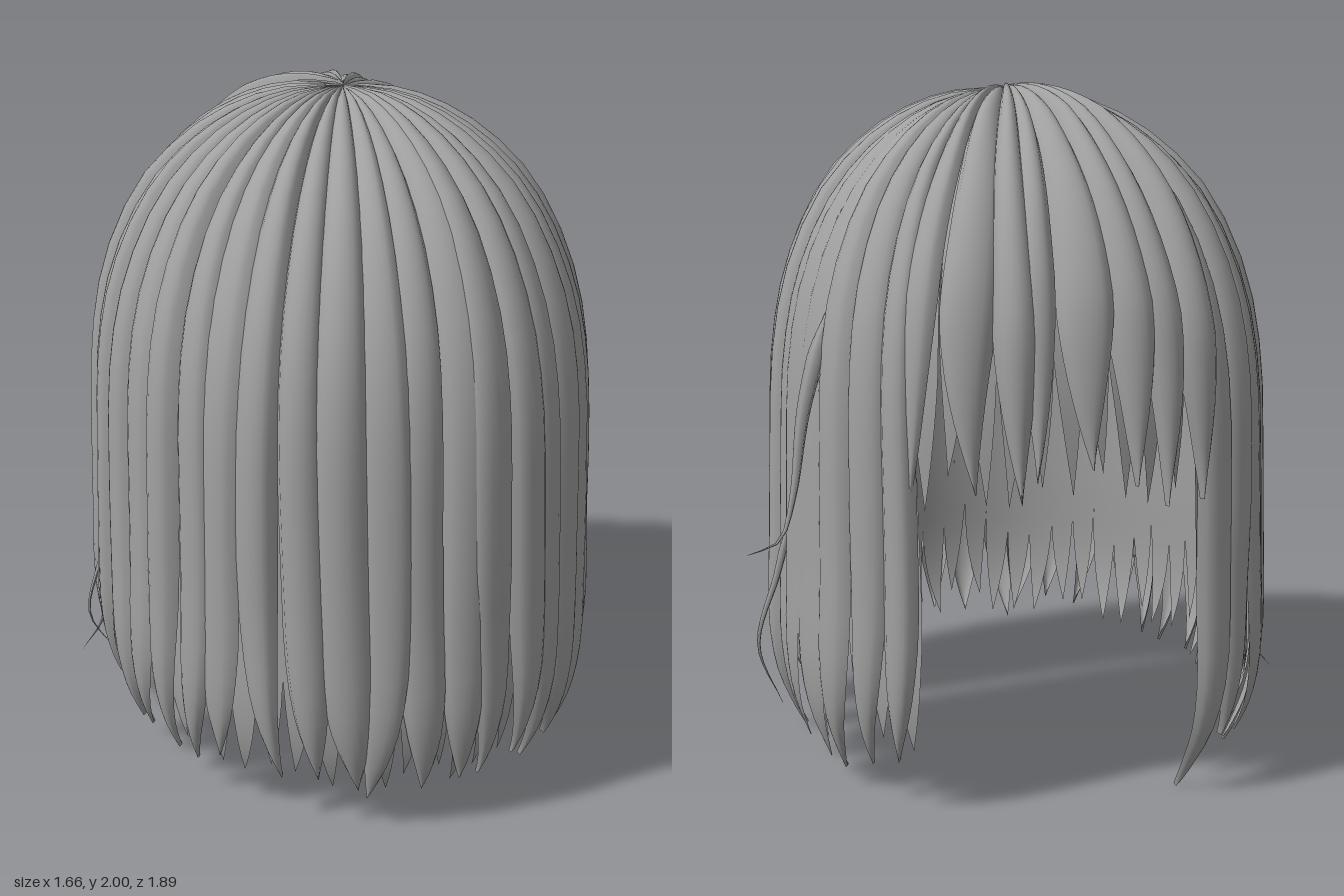
import * as THREE from 'three';
import { mergeGeometries } from 'three/addons/utils/BufferGeometryUtils.js';

const RAD = Math.PI / 180;

// Half profile of the hair from crown to tips: x = share of the head radius, y = height
const profile = new THREE.SplineCurve([
  [0.01, 1.968], [0.2, 1.955], [0.4, 1.9], [0.6, 1.795], [0.78, 1.635], [0.91, 1.42],
  [0.972, 1.18], [0.99, 0.9], [1.0, 0.6], [1.015, 0.36], [0.995, 0.2], [0.94, 0.08], [0.89, 0]
].map(([x, y]) => new THREE.Vector2(x, y)));

// Small seeded random number source
function seeded(seed) {
  return () => {
    seed = (seed * 16807) % 2147483647;
    return seed / 2147483647;
  };
}

// Position along the profile at which the hair reaches a height
function profileAt(height) {
  let low = 0, high = 1;
  for (let i = 0; i < 24; i++) {
    const mid = (low + high) / 2;
    if (profile.getPoint(mid).y > height) low = mid; else high = mid;
  }
  return low;
}

// Point on the head shell: angle 0 faces +z, lift moves it outward
function shellPoint(angle, t, lift, scale) {
  const p = profile.getPoint(t), d = profile.getTangent(t);
  const c = Math.cos(angle), s = Math.sin(angle);
  const n = c < 0 ? 2.35 : 2;
  const k = Math.pow(Math.pow(Math.abs(c), n) + Math.pow(Math.abs(s), n), -1 / n);
  const out = p.x * scale * k;
  const side = -d.y * lift;
  return [
    s * (0.725 * out + side) - 0.015 * p.x,
    p.y - (1 - scale) * 0.5 + d.x * lift,
    c * ((c < 0 ? 0.925 : 0.91) * out + side)
  ];
}

// One arched lock that starts at the crown and narrows to a point
function lock({ angle, width, tip, bulge, tilt, sway, phase, scale, taper, gather }) {
  const rows = 26, cols = 8, end = profileAt(tip);
  const positions = [], index = [];
  for (let i = 0; i <= rows; i++) {
    const u = 1 - Math.pow(1 - i / rows, 1.25);
    const t = u * end;
    const late = Math.max(0, (u - taper) / (1 - taper));
    const w = width * Math.max(0.01, 1 - Math.pow(late, 1.5));
    const wave = 0.018 * Math.sin(u * 9 + phase) * u;
    const mid = angle * (1 - gather * u) + wave + sway * late * late;
    const fullness = Math.min(1, 0.15 + u * 2.6) * (1 - 0.75 * late);
    for (let j = 0; j <= cols; j++) {
      const v = j / cols * 2 - 1;
      const lift = fullness * (bulge * (Math.sqrt(1 - 0.96 * v * v) - 0.3) + tilt * v);
      positions.push(...shellPoint(mid + v * w / 2, t, lift, scale));
      if (i < rows && j < cols) {
        const a = i * (cols + 1) + j, b = a + cols + 1;
        index.push(a, b, b + 1, a, b + 1, a + 1);
      }
    }
  }
  const geometry = new THREE.BufferGeometry();
  geometry.setAttribute('position', new THREE.Float32BufferAttribute(positions, 3));
  geometry.setIndex(index);
  geometry.computeVertexNormals();
  return geometry;
}

// A row of locks spread between two angles in degrees; gather pulls the tips together
function lockRow({ from, to, count, low, high, seed, bulge = 0.054, overlap = 1.1, scale = 1, gather = 0, flat }) {
  const random = seeded(seed), step = (to - from) / count, locks = [];
  for (let i = 0; i < count; i++) {
    const angle = from + (i + 0.5) * step;
    const edge = i === 0 || i === count - 1;
    const smooth = flat && angle > flat[0] && angle < flat[1];
    locks.push(lock({
      angle: (angle + (edge ? 0 : (random() - 0.5) * step * 0.4)) * RAD,
      width: step * RAD * (edge ? 1.05 : overlap + random() * 0.35),
      tip: low + random() * (high - low),
      bulge: smooth ? 0.012 : bulge * (0.7 + random() * 0.6),
      tilt: (random() - 0.4) * 0.036,
      sway: (random() - 0.5) * 0.1,
      phase: random() * 6,
      scale: scale + (random() - 0.5) * 0.014,
      taper: 0.66 + random() * 0.12,
      gather
    }));
  }
  return mergeGeometries(locks);
}

// A smooth inner row: flat strips set edge to edge, with pointed ends
function liningRow({ from, to, count, low, high, seed, gather = 0 }) {
  const random = seeded(seed), step = (to - from) / count, strips = [];
  for (let i = 0; i < count; i++) {
    strips.push(lock({
      angle: (from + (i + 0.5) * step) * RAD, width: step * RAD, tip: low + random() * (high - low),
      bulge: 0, tilt: 0, sway: (random() - 0.5) * 0.06, phase: 0, scale: 0.975, taper: 0.8, gather
    }));
  }
  return mergeGeometries(strips);
}

export function createModel() {
  const model = new THREE.Group();
  model.name = 'bobHair';
  const hair = new THREE.MeshStandardMaterial({ color: 0xa0a0a0, side: THREE.DoubleSide });
  hair.name = 'hairGrey';

  function add(name, geometry) {
    const mesh = new THREE.Mesh(geometry, hair);
    mesh.name = name;
    model.add(mesh);
  }

  // Long panel, drawn in at the tips so that a slit opens on each side
  add('longPanel', lockRow({ from: -88, to: 88, count: 19, low: 0.07, high: 0.15, gather: 0.07, seed: 11 }));
  add('longPanelLining', liningRow({ from: -87, to: 87, count: 26, low: 0.1, high: 0.22, gather: 0.07, seed: 29 }));

  // Long side locks; the left side has a smooth flat section
  for (const side of [1, -1]) {
    const span = (a, b) => side > 0 ? { from: a, to: b } : { from: -b, to: -a };
    const name = side > 0 ? 'left' : 'right';
    add(name + 'SideLocks', lockRow({
      ...span(87, 146), count: 7, low: 0, high: 0.14, gather: -0.02, seed: 47 + side, flat: side > 0 ? [97, 118] : null
    }));
    add(name + 'SideLining', liningRow({ ...span(88, 146), count: 9, low: 0.1, high: 0.3, gather: -0.02, seed: 83 + side }));
  }

  // Short fringe over the face opening
  add('fringe', lockRow({ from: 144, to: 216, count: 8, low: 0.84, high: 0.98, bulge: 0.062, scale: 1.015, seed: 131 }));
  add('fringeLining', liningRow({ from: 145, to: 215, count: 11, low: 0.86, high: 1.0, seed: 173 }));

  // Loose wisps that stand away from the sides: radius, then path
  const wisps = [
    [0.035, [0.57, 1.4, -0.47], [0.66, 1.1, -0.55], [0.7, 0.85, -0.6], [0.74, 0.74, -0.63], [0.83, 0.71, -0.66]],
    [0.016, [0.68, 0.75, -0.25], [0.73, 0.55, -0.25], [0.79, 0.33, -0.25], [0.72, 0.14, -0.23]],
    [0.016, [-0.7, 0.8, -0.17], [-0.75, 0.5, -0.17], [-0.8, 0.28, -0.17], [-0.73, 0.16, -0.15]],
    [0.016, [-0.7, 0.6, -0.2], [-0.75, 0.4, -0.2], [-0.76, 0.25, -0.18], [-0.83, 0.16, -0.16]]
  ];
  wisps.forEach(([radius, ...points], i) => {
    const path = new THREE.CatmullRomCurve3(points.map(p => new THREE.Vector3(...p)));
    const geometry = new THREE.TubeGeometry(path, 18, radius, 5);
    // Narrow each wisp to a point at both ends
    const position = geometry.attributes.position, at = new THREE.Vector3(), centre = new THREE.Vector3();
    for (let k = 0; k < position.count; k++) {
      const u = Math.floor(k / 6) / 18;
      path.getPointAt(u, centre);
      const thickness = Math.max(0.02, Math.min(1 - u, u * 4));
      at.fromBufferAttribute(position, k).lerp(centre, 1 - thickness);
      position.setXYZ(k, at.x, at.y, at.z);
    }
    geometry.computeVertexNormals();
    add('wisp' + (i + 1), geometry);
  });

  return model;
}
